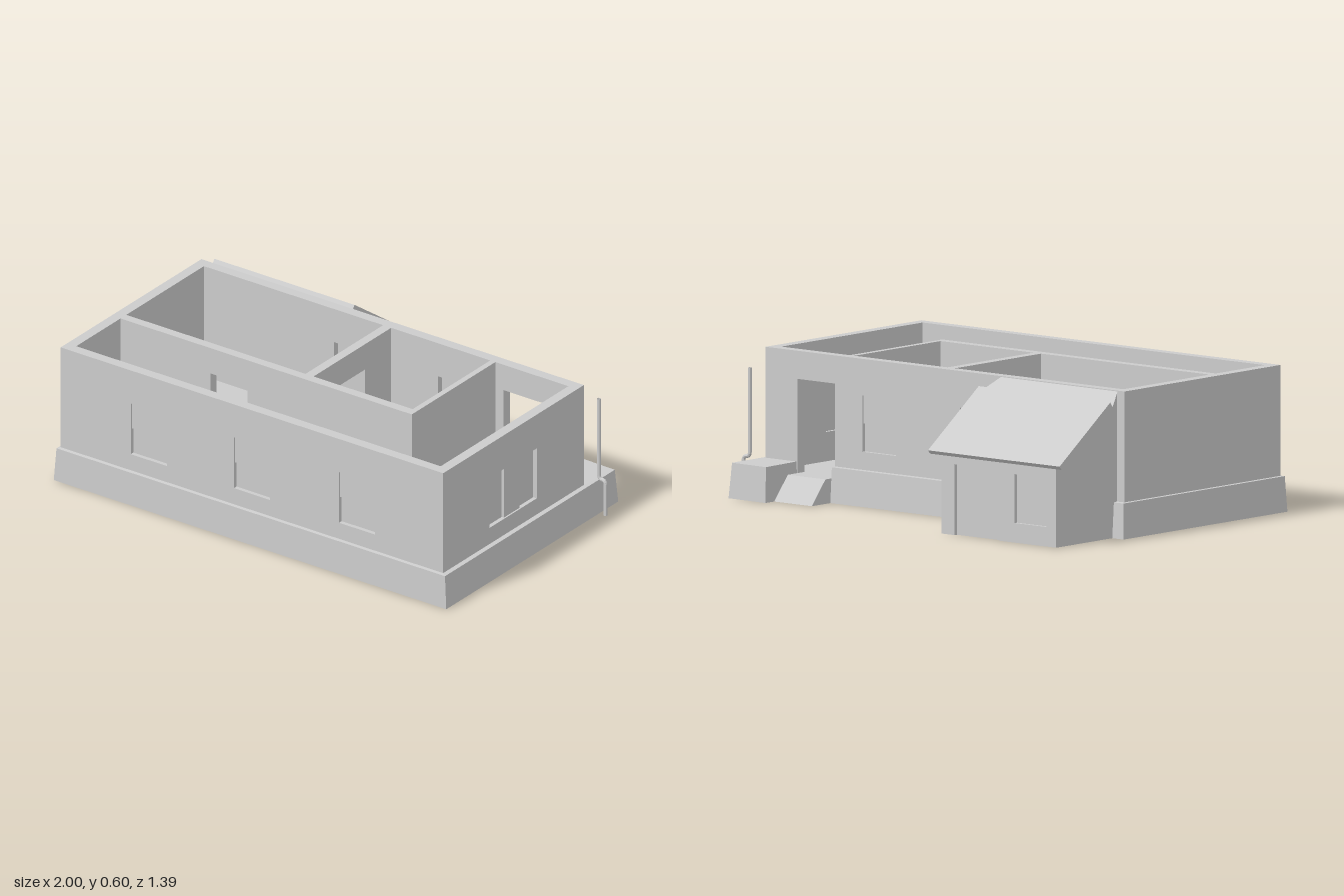
import * as THREE from 'three';

const FLOOR = 0.1, TOP = 0.6, THICK = 0.045;
const grey = new THREE.MeshStandardMaterial({ color: 0xcccccc, flatShading: true });
const sheet = new THREE.MeshStandardMaterial({ color: 0xcccccc, flatShading: true, side: THREE.DoubleSide });

function add(parent, name, geometry, material = grey) {
  const mesh = new THREE.Mesh(geometry, material);
  mesh.name = name;
  parent.add(mesh);
  return mesh;
}

// Places geometry drawn in (u, y, depth): u runs along x or along z, depth starts at 'at'
function place(geo, axis, at, depth) {
  if (axis === 'x') return geo.translate(0, 0, at);
  return geo.rotateY(-Math.PI / 2).translate(at + depth, 0, 0);
}

function extrude(shape, axis, at, depth) {
  return place(new THREE.ExtrudeGeometry(shape, { depth, bevelEnabled: false }), axis, at, depth);
}

const outline = pts => new THREE.Shape(pts.map(([u, y]) => new THREE.Vector2(u, y)));

// Straight wall; doors are notches [u0, u1, top], windows are holes [u0, u1, y0, y1]
function wall(parent, name, { axis, at, depth = THICK, from, to, base = FLOOR, top = TOP, doors = [], windows = [] }) {
  const pts = [[from, base]];
  for (const [a, b, h] of doors) pts.push([a, base], [a, h], [b, h], [b, base]);
  pts.push([to, base], [to, top], [from, top]);
  const shape = outline(pts);
  for (const [a, b, c, d] of windows) {
    shape.holes.push(new THREE.Path([[a, c], [a, d], [b, d], [b, c]].map(p => new THREE.Vector2(...p))));
  }
  add(parent, name, extrude(shape, axis, at, depth));
}

// Flat panel filling an opening
function panel(parent, name, axis, at, [a, b, c, d], depth = 0.012) {
  add(parent, name, extrude(outline([[a, c], [b, c], [b, d], [a, d]]), axis, at, depth));
}

// Two-part sash window: the upper sash sits nearer the outside
function sashWindow(parent, [a, b, c, d], outer, inner) {
  const mid = (c + d) / 2;
  panel(parent, 'upperSash', 'x', outer, [a, b, mid, d]);
  panel(parent, 'lowerSash', 'x', inner, [a, b, c, mid + 0.005]);
}

// Strip surface through two matching point rows
function ribbon(parent, name, rowA, rowB) {
  const pos = [], index = [];
  rowA.forEach((p, i) => {
    pos.push(...p, ...rowB[i]);
    if (i) index.push(2 * i - 2, 2 * i - 1, 2 * i, 2 * i - 1, 2 * i + 1, 2 * i);
  });
  const geo = new THREE.BufferGeometry();
  geo.setAttribute('position', new THREE.Float32BufferAttribute(pos, 3));
  geo.setIndex(index);
  geo.computeVertexNormals();
  add(parent, name, geo, sheet);
}

export function createModel() {
  const model = new THREE.Group();
  model.name = 'house';

  // Outer walls
  const frontWindows = [-0.63, -0.115, 0.41].map(x => [x, x + 0.18, 0.22, 0.45]);
  const backWindows = [0.235, -0.285].map(x => [x, x + 0.18, 0.22, 0.45]);
  const sideWindow = [0.03, 0.355, 0.22, 0.447];
  wall(model, 'frontWall', { axis: 'x', at: 0.63, from: -0.98, to: 0.93, windows: frontWindows });
  wall(model, 'backWall', { axis: 'x', at: -0.295, from: -0.98, to: 0.93, doors: [[0.56, 0.76, 0.485]], windows: backWindows });
  wall(model, 'leftWall', { axis: 'z', at: 0.885, from: -0.25, to: 0.63, windows: [sideWindow] });
  wall(model, 'rightWall', { axis: 'z', at: -0.98, from: -0.25, to: 0.63 });

  // Partitions with inner doorways
  const thin = 0.04;
  wall(model, 'longPartition', { axis: 'x', at: 0.285, depth: thin, from: -0.935, to: 0.52, doors: [[-0.485, -0.3, 0.485]] });
  wall(model, 'middlePartition', { axis: 'z', at: -0.04, depth: thin, from: -0.25, to: 0.285, doors: [[-0.07, 0.13, 0.485]] });
  wall(model, 'hallPartition', { axis: 'z', at: 0.495, depth: 0.025, from: -0.25, to: 0.285 });

  // Floor slab
  add(model, 'floor', new THREE.BoxGeometry(1.9, 0.01, 0.96).translate(-0.025, FLOOR - 0.005, 0.192));

  // Windows
  for (const w of frontWindows) sashWindow(model, w, 0.656, 0.645);
  for (const w of backWindows) sashWindow(model, w, -0.288, -0.277);
  const third = (sideWindow[1] - sideWindow[0]) / 3;
  for (let i = 0; i < 3; i++) {
    const a = sideWindow[0] + i * third;
    panel(model, 'sidePane', 'z', i === 1 ? 0.911 : 0.9, [a, a + third, 0.22, 0.447]);
  }

  // Flared plinth, hollow below, widened into a porch block at the back door
  // each row: foot x, z; upper edge x, z; wall x, z
  const plinth = [
    [0.56, -0.325, 0.56, -0.315, 0.56, -0.29],
    [-1, -0.325, -0.99, -0.315, -0.98, -0.29],
    [-1, 0.695, -0.99, 0.69, -0.98, 0.675],
    [0.96, 0.695, 0.95, 0.69, 0.93, 0.675],
    [0.96, -0.49, 0.95, -0.48, 0.93, -0.29],
    [0.76, -0.495, 0.765, -0.485, 0.765, -0.29],
    [0.76, -0.29, 0.765, -0.29, 0.765, -0.29],
  ];
  const row = (k, y) => plinth.map(p => [p[k], y, p[k + 1]]);
  ribbon(model, 'plinthSides', row(0, 0), row(2, 0.145));
  ribbon(model, 'plinthLedge', row(2, 0.145), row(4, 0.147));

  // Sloped doorstep
  add(model, 'doorstep', extrude(
    outline([[-0.25, 0.09], [-0.29, 0], [-0.44, 0], [-0.355, FLOOR], [-0.25, FLOOR]]), 'z', 0.56, 0.2));

  // Lean-to at the back
  const leanTo = new THREE.Group();
  leanTo.name = 'leanTo';
  model.add(leanTo);
  const roofY = z => 0.6 + 0.7 * (z + 0.29);
  const cheek = [[-0.29, 0], [-0.29, 0.598], [-0.675, roofY(-0.675)], [-0.675, 0]];
  for (const x of [-0.94, -0.355]) add(leanTo, 'leanToSide', extrude(outline(cheek), 'z', x, 0.025));
  const hatch = [-0.89, -0.72, 0.08, 0.28];
  wall(leanTo, 'leanToBack', {
    axis: 'x', at: -0.675, depth: 0.03, from: -0.915, to: -0.355, base: 0, top: 0.33,
    doors: [[-0.64, -0.4, 0.29]], windows: [hatch],
  });
  panel(leanTo, 'leanToDoor', 'x', -0.66, [-0.64, -0.4, 0, 0.29]);
  panel(leanTo, 'leanToWindow', 'x', -0.66, hatch);

  // Lean-to roof: thick slab, with a tapered sheet joining it to the house
  add(leanTo, 'roofSlab', extrude(outline([
    [-0.37, roofY(-0.37)], [-0.384, 0.565], [-0.7, 0.338], [-0.686, roofY(-0.686)],
  ]), 'z', -0.98, 0.7));
  ribbon(leanTo, 'roofJoint',
    [[-0.98, roofY(-0.37), -0.37], [-0.28, roofY(-0.37), -0.37]],
    [[-0.94, 0.6, -0.29], [-0.325, 0.6, -0.29]]);

  // Bent service pipe beside the porch block
  const v = (x, y) => new THREE.Vector3(x, y, -0.36);
  const path = new THREE.CurvePath();
  path.add(new THREE.LineCurve3(v(0.958, 0.52), v(0.958, 0.175)));
  path.add(new THREE.QuadraticBezierCurve3(v(0.958, 0.175), v(0.958, 0.157), v(0.974, 0.157)));
  path.add(new THREE.QuadraticBezierCurve3(v(0.974, 0.157), v(0.991, 0.157), v(0.991, 0.14)));
  path.add(new THREE.LineCurve3(v(0.991, 0.14), v(0.991, 0)));
  add(model, 'pipe', new THREE.TubeGeometry(path, 80, 0.008, 8), sheet);

  return model;
}
